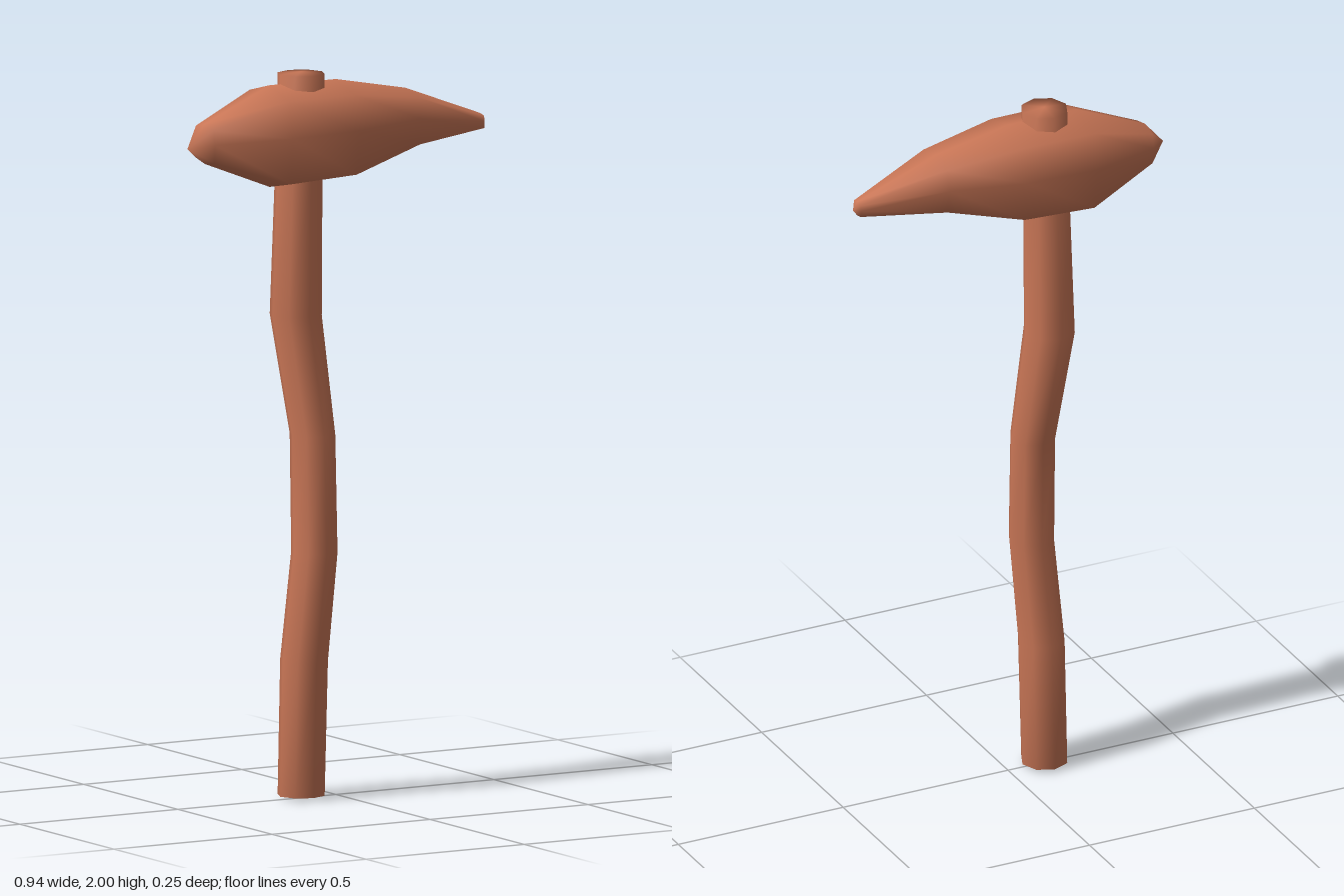
import * as THREE from 'three';

// Skin a stack of equal-sized rings, closing each end with a fan to a pole point.
// Rings run counterclockwise as seen from the end of the stack.
function loft(rings, startPole, endPole) {
  const n = rings[0].length;
  const points = [...rings.flat(), startPole, endPole];
  const start = rings.length * n, end = start + 1, last = start - n;
  const index = [];
  for (let j = 0; j < n; j++) {
    const k = (j + 1) % n;
    for (let i = 0; i < rings.length - 1; i++) {
      const a = i * n + j, b = i * n + k;
      index.push(a, b, b + n, a, b + n, a + n);
    }
    index.push(start, k, j, end, last + j, last + k);
  }
  const geometry = new THREE.BufferGeometry();
  geometry.setAttribute('position', new THREE.Float32BufferAttribute(points.flat(), 3));
  geometry.setIndex(index);
  geometry.computeVertexNormals();
  return geometry;
}

export function createModel() {
  const model = new THREE.Group();
  const clay = new THREE.MeshStandardMaterial({ color: 0xc97656 });
  clay.name = 'terracotta';

  // Crooked eight-sided handle, running up through the head: [y, x, z, radius]
  const stations = [
    [0.008, -0.11, 0, 0.066],
    [0.38, -0.102, 0.002, 0.067],
    [0.68, -0.086, 0.03, 0.065],
    [1.0, -0.08, 0.01, 0.064],
    [1.33, -0.117, -0.017, 0.073],
    [1.7, -0.114, -0.007, 0.067],
    [1.995, -0.11, 0, 0.066],
  ];
  const handleRings = stations.map(([y, x, z, r]) =>
    Array.from({ length: 8 }, (_, j) => {
      const a = (j / 8) * Math.PI * 2;
      return [x + r * Math.sin(a), y, z + r * Math.cos(a)];
    }));
  const handle = new THREE.Mesh(loft(handleRings, [-0.11, 0, 0], [-0.11, 2, 0]), clay);
  handle.name = 'handle';
  model.add(handle);

  // Boxy octagonal head section as [z, y] factors, swept along x
  const section = [
    [0, 1], [0.87, 0.78], [1, 0.06], [0.92, -0.84],
    [0, -1], [-0.86, -0.8], [-1, 0.08], [-0.85, 0.81],
  ];
  // Head stations: [x, bottom, top, half depth]
  const headStations = [
    [-0.415, 1.77, 1.88, 0.055],
    [-0.21, 1.69, 1.97, 0.123],
    [0, 1.7, 1.97, 0.12],
    [0.22, 1.77, 1.928, 0.085],
    [0.457, 1.797, 1.839, 0.023],
  ];
  const headRings = headStations.map(([x, bottom, top, d]) =>
    section.map(([z, y]) => [x, (top + bottom) / 2 + y * (top - bottom) / 2, z * d]));
  const head = new THREE.Mesh(loft(headRings, [-0.47, 1.815, 0], [0.47, 1.815, 0]), clay);
  head.name = 'head';
  model.add(head);

  return model;
}
